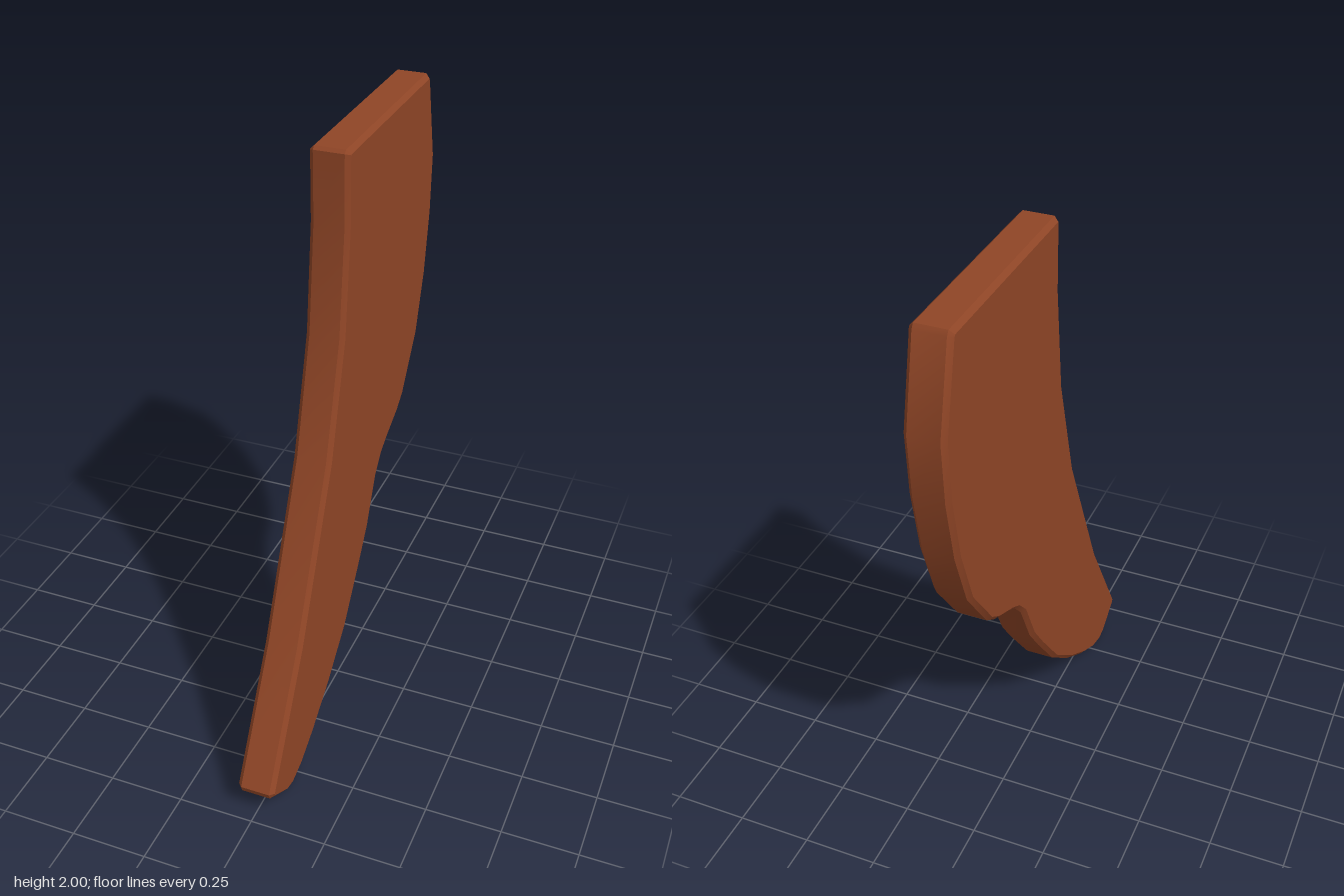
import * as THREE from 'three';
import { toCreasedNormals } from 'three/addons/utils/BufferGeometryUtils.js';

export function createModel() {
  const group = new THREE.Group();
  group.name = 'curvedGrip';
  const wood = new THREE.MeshStandardMaterial({ color: 0x8f4526 });
  wood.name = 'brown wood';

  // Side outline as [toward the back, up], clockwise from the top front corner
  const outline = [
    [-0.06, 2], [0.64, 2], [0.65, 1.985],
    // back swell
    [0.712, 1.71], [0.7, 1.51], [0.66, 1.3], [0.59, 1.1], [0.46, 0.92],
    // finger notch
    [0.405, 0.88], [0.3, 0.83], [0.25, 0.8], [0.2, 0.745],
    // lower back curve
    [0.125, 0.585], [0.05, 0.48], [-0.085, 0.305], [-0.235, 0.175], [-0.38, 0.075],
    // rounded toe
    [-0.48, 0.02], [-0.555, 0], [-0.605, 0.01], [-0.708, 0.08], [-0.714, 0.1],
    // front curve
    [-0.47, 0.51], [-0.22, 1.05], [-0.11, 1.425], [-0.07, 1.77], [-0.07, 1.99],
  ];
  const shape = new THREE.Shape(outline.map(([u, y]) => new THREE.Vector2(u, y)));

  // Flat board with a narrow chamfer kept inside the outline
  const width = 0.124, bevel = 0.014;
  const geometry = new THREE.ExtrudeGeometry(shape, {
    depth: width - 2 * bevel,
    bevelEnabled: true,
    bevelThickness: bevel,
    bevelSize: bevel,
    bevelOffset: -bevel,
    bevelSegments: 1,
  });
  geometry.translate(0, 0, bevel - width / 2);
  geometry.rotateY(Math.PI / 2);

  const board = new THREE.Mesh(toCreasedNormals(geometry, 0.5), wood);
  board.name = 'gripBoard';
  group.add(board);
  return group;
}
